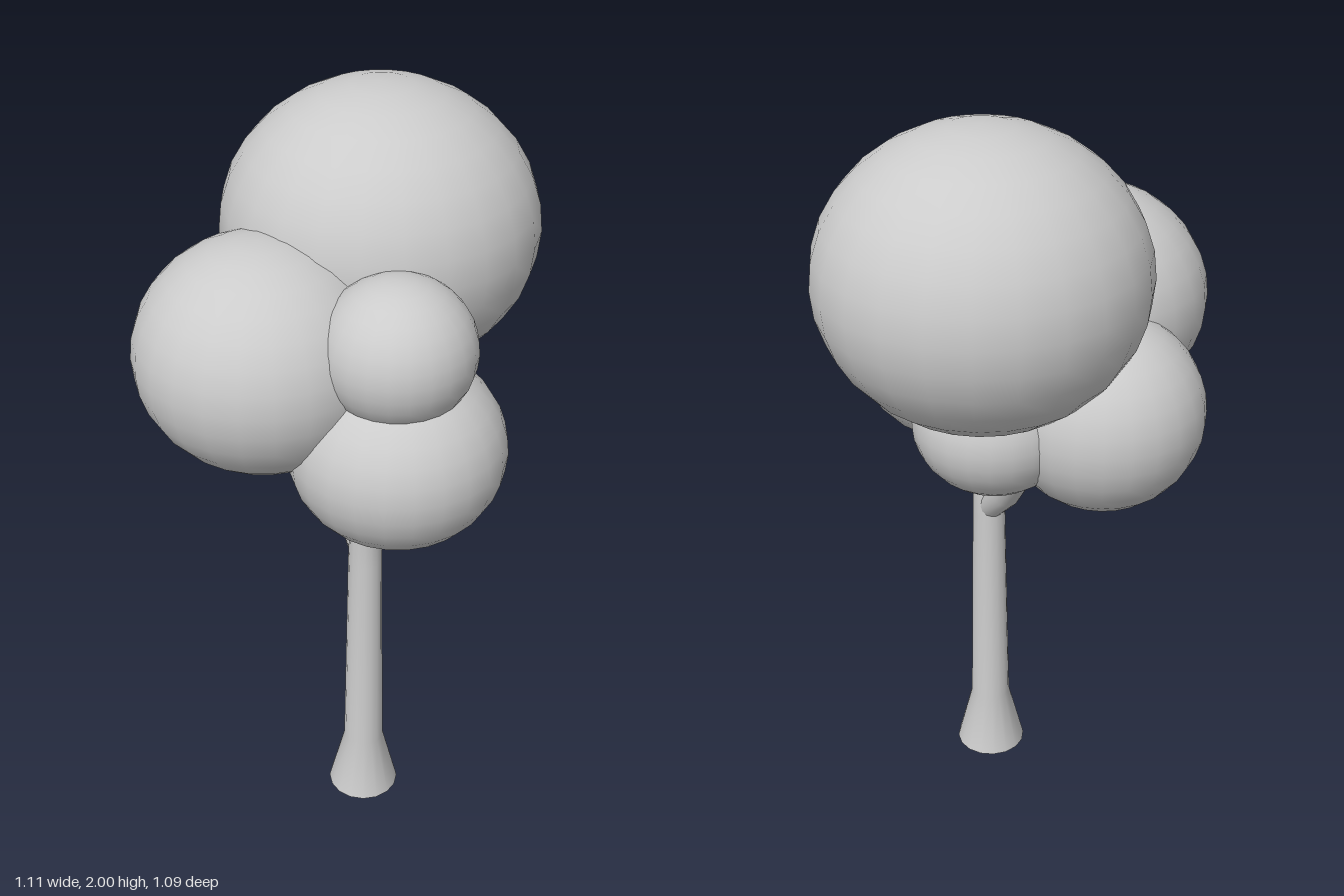
import * as THREE from 'three';
import { mergeVertices } from 'three/addons/utils/BufferGeometryUtils.js';

const material = new THREE.MeshStandardMaterial({ color: 0xcccccc, side: THREE.DoubleSide });

// Round tapered limb through stations [y, z, radius], listed from bottom to top
function limb(name, stations, sides = 16) {
  const geo = new THREE.CylinderGeometry(1, 1, 1, sides, stations.length - 1, true);
  geo.deleteAttribute('uv');
  geo.deleteAttribute('normal');
  const pos = geo.attributes.position;
  const up = new THREE.Vector3(0, 1, 0);
  const last = stations.length - 1;
  const v = new THREE.Vector3();
  for (let i = 0; i < pos.count; i++) {
    const s = last - Math.floor(i / (sides + 1)); // cylinder rows run top down
    const [y, z, r] = stations[s];
    const a = stations[Math.max(s - 1, 0)];
    const b = stations[Math.min(s + 1, last)];
    const dir = s === 0 && y === 0 ? up : new THREE.Vector3(0, b[0] - a[0], b[1] - a[1]).normalize();
    const turn = new THREE.Quaternion().setFromUnitVectors(up, dir);
    v.set(pos.getX(i) * r, 0, pos.getZ(i) * r).applyQuaternion(turn);
    pos.setXYZ(i, v.x, v.y + y, v.z + z);
  }
  const welded = mergeVertices(geo);
  welded.computeVertexNormals();
  const mesh = new THREE.Mesh(welded, material);
  mesh.name = name;
  return mesh;
}

// Slightly flattened ball of leaves
function foliage(name, x, y, z, radius, height) {
  const mesh = new THREE.Mesh(new THREE.SphereGeometry(1, 24, 16), material);
  mesh.name = name;
  mesh.position.set(x, y, z);
  mesh.scale.set(radius, height, radius);
  return mesh;
}

export function createModel() {
  const tree = new THREE.Group();
  tree.name = 'tree';

  // Flared trunk that bends forward at the fork, and the branch leaning back
  tree.add(
    limb('trunk', [
      [0, 0.13, 0.098], [0.175, 0.13, 0.055], [0.8, 0.13, 0.045],
      [0.93, 0.132, 0.041], [1.05, 0.155, 0.035], [1.14, 0.18, 0.03],
    ]),
    limb('backBranch', [
      [0.82, 0.12, 0.036], [0.91, 0.03, 0.041], [1.08, -0.105, 0.034], [1.2, -0.2, 0.03],
    ]),
  );

  // Crown: name, centre x, y, z, horizontal radius, vertical radius
  const crown = new THREE.Group();
  crown.name = 'crown';
  [
    ['topFoliage', 0.148, 1.635, -0.14, 0.405, 0.365],
    ['rightFoliage', -0.235, 1.443, 0.045, 0.32, 0.292],
    ['frontFoliage', 0.02, 1.245, 0.275, 0.27, 0.245],
    ['frontUpperFoliage', 0.005, 1.53, 0.3, 0.19, 0.18],
    ['backFoliage', -0.125, 1.267, -0.25, 0.256, 0.251],
    ['leftFoliage', 0.123, 1.255, -0.148, 0.205, 0.186],
  ].forEach((ball) => crown.add(foliage(...ball)));
  tree.add(crown);

  return tree;
}
